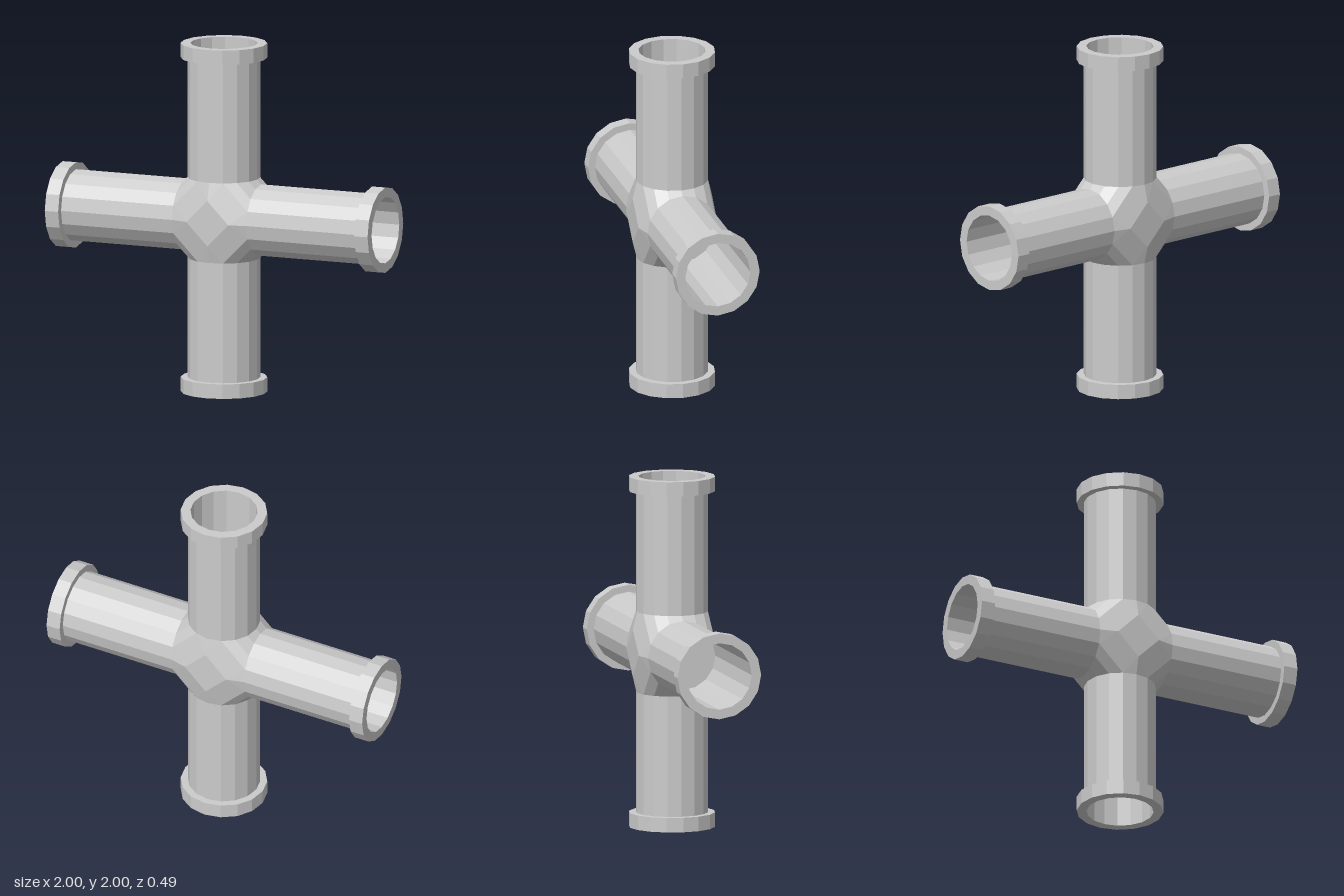
import * as THREE from 'three';
import { ConvexGeometry } from 'three/addons/geometries/ConvexGeometry.js';

const SIDES = 16;
const PIPE_R = 0.205, BORE_R = 0.19, FLANGE_R = 0.245;
const HUB = 0.23, FLANGE_Y = 0.917;

const lathe = (pts) =>
  new THREE.LatheGeometry(pts.map(([r, y]) => new THREE.Vector2(r, y)), SIDES);

export function createModel() {
  const model = new THREE.Group();
  model.name = 'pipeCross';
  const material = new THREE.MeshStandardMaterial({ color: 0xcccccc, flatShading: true });
  const add = (parent, name, geometry) => {
    const mesh = new THREE.Mesh(geometry, material);
    mesh.name = name;
    parent.add(mesh);
  };

  // Profiles run up the outside, over the rim and down the inside
  const pipeGeo = lathe([[PIPE_R, HUB], [PIPE_R, FLANGE_Y]]);
  const flangeGeo = lathe([[PIPE_R, FLANGE_Y], [FLANGE_R, FLANGE_Y], [FLANGE_R, 1], [BORE_R, 1]]);
  const boreGeo = lathe([[BORE_R, 1], [BORE_R, HUB]]);

  // Four identical arms: up, left, down, right
  const hubPoints = [];
  ['top', 'right', 'bottom', 'left'].forEach((side, k) => {
    const arm = new THREE.Group();
    arm.name = side + 'Arm';
    arm.position.y = 1;
    arm.rotation.z = (k * Math.PI) / 2;
    add(arm, 'pipe', pipeGeo);
    add(arm, 'flange', flangeGeo);
    add(arm, 'bore', boreGeo);
    model.add(arm);

    // Ring where this arm meets the hub, plus one corner of each diamond face
    const local = [[0, 0.13, HUB], [0, 0.13, -HUB]];
    for (let i = 0; i < SIDES; i++) {
      const a = (i / SIDES) * Math.PI * 2;
      local.push([PIPE_R * Math.sin(a), HUB, PIPE_R * Math.cos(a)]);
    }
    for (const p of local) {
      hubPoints.push(new THREE.Vector3(...p).applyEuler(arm.rotation));
    }
  });

  // Faceted hub joining the arms; it also closes the bores
  const hubGeo = new ConvexGeometry(hubPoints);
  hubGeo.translate(0, 1, 0);
  add(model, 'hub', hubGeo);

  return model;
}
